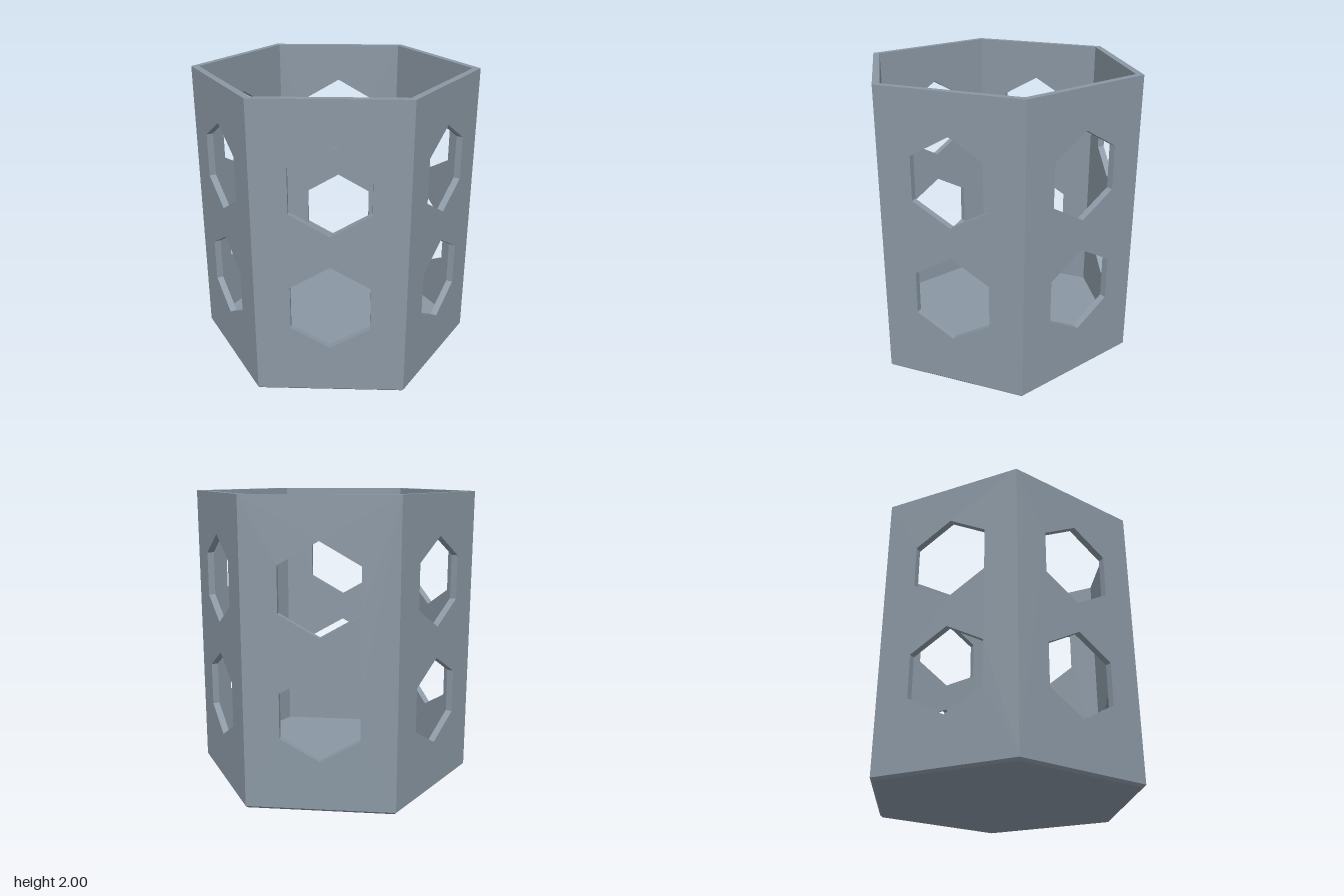
import * as THREE from 'three';

const APOTHEM = 0.84, WALL = 0.045, HEIGHT = 2;
const FLOOR = 0.045, BEVEL = 0.017;
const SIDE = APOTHEM / Math.sqrt(3);                 // half width of an outer face
const INNER_SIDE = (APOTHEM - WALL) / Math.sqrt(3);  // half width of an inner face

// Pointed-top hexagonal window outline
function hexHole(y, radius) {
  const points = [];
  for (let i = 0; i < 6; i++) {
    const a = Math.PI / 2 - i * Math.PI / 3;
    points.push(new THREE.Vector2(Math.cos(a) * radius, y + Math.sin(a) * radius));
  }
  return new THREE.Path(points);
}

// One wall with two windows, its ends mitred to meet the neighbours
function wallGeometry() {
  const shape = new THREE.Shape([
    new THREE.Vector2(-SIDE, BEVEL), new THREE.Vector2(SIDE, BEVEL),
    new THREE.Vector2(SIDE, HEIGHT), new THREE.Vector2(-SIDE, HEIGHT),
  ]);
  for (const y of [0.635, 1.435]) shape.holes.push(hexHole(y, 0.295));
  const geometry = new THREE.ExtrudeGeometry(shape, { depth: WALL, bevelEnabled: false });
  const pos = geometry.attributes.position;
  for (let i = 0; i < pos.count; i++) {
    const x = pos.getX(i);
    if (pos.getZ(i) < WALL / 2 && Math.abs(x) > 0.4) pos.setX(i, Math.sign(x) * INNER_SIDE);
  }
  geometry.translate(0, 0, APOTHEM - WALL);
  geometry.computeVertexNormals();
  return geometry;
}

export function createModel() {
  const group = new THREE.Group();
  group.name = 'hexagonalHolder';
  const material = new THREE.MeshStandardMaterial({ color: 0x8a97a3 });
  material.name = 'slateGrey';

  // Six walls, corners pointing front and back
  const wall = wallGeometry();
  for (let i = 0; i < 6; i++) {
    const mesh = new THREE.Mesh(wall, material);
    mesh.name = `wall${i + 1}`;
    mesh.rotation.y = Math.PI / 6 + i * Math.PI / 3;
    group.add(mesh);
  }

  // Floor with a small bevel round the underside
  const r = SIDE * 2;
  const profile = [[0, 0], [r - 0.02, 0], [r, BEVEL], [INNER_SIDE * 2, FLOOR], [0, FLOOR]]
    .map(([x, y]) => new THREE.Vector2(x, y));
  const floorGeometry = new THREE.LatheGeometry(profile, 6).toNonIndexed();
  floorGeometry.computeVertexNormals();
  const floor = new THREE.Mesh(floorGeometry, material);
  floor.name = 'floor';
  group.add(floor);

  return group;
}
